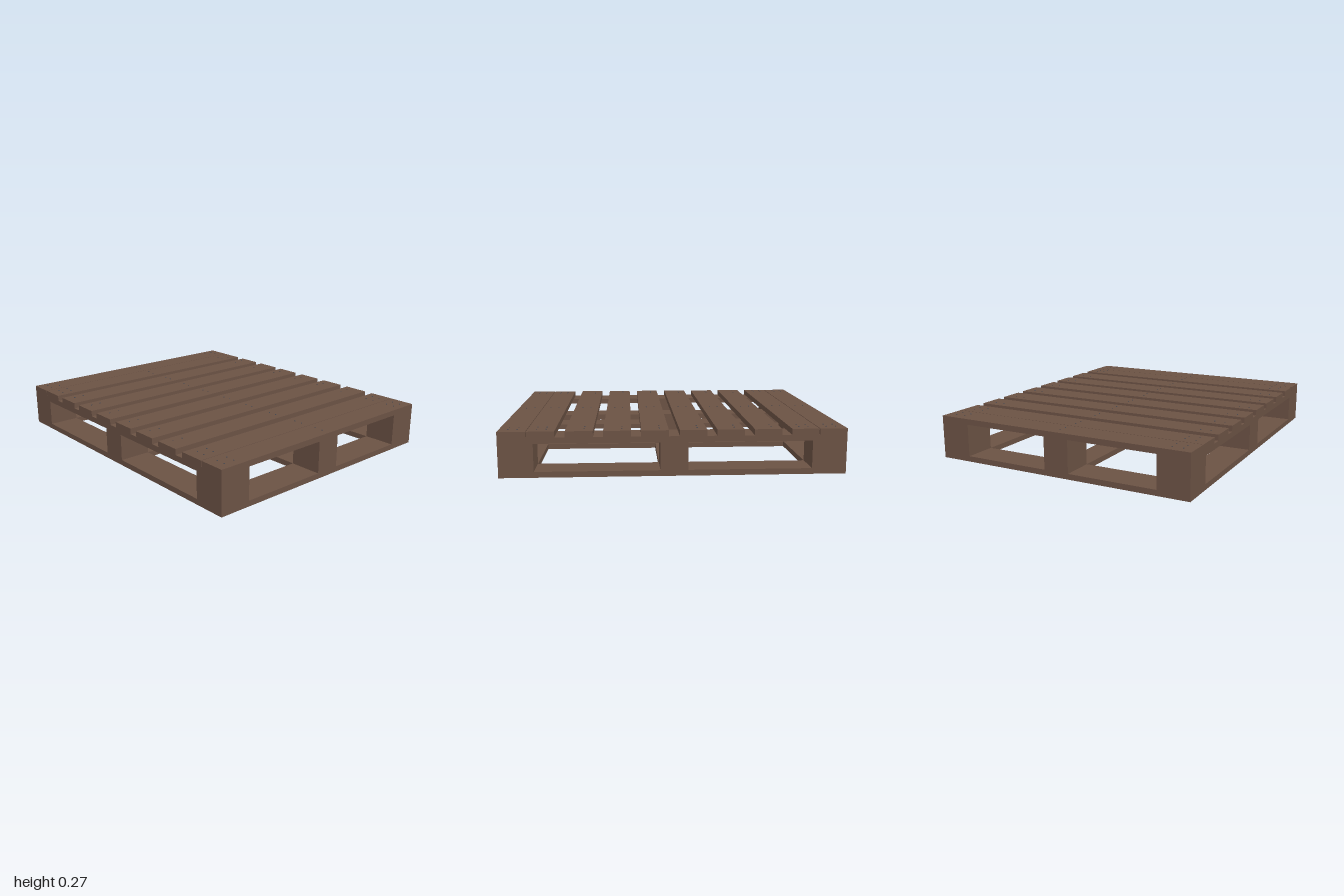
import * as THREE from 'three';

// Layer heights: bottom boards, blocks, stringers, deck
const Y = [0.003, 0.037, 0.2, 0.235, 0.27];
const HALF_W = 0.83, INNER_X = 0.635, INNER_Z = 0.8, MID = 0.08;

export function createModel() {
  const model = new THREE.Group();
  const wood = new THREE.MeshStandardMaterial({ color: 0x6b5244 });
  wood.name = 'brown wood';
  const steel = new THREE.MeshStandardMaterial({ color: 0x4a4a50 });
  steel.name = 'grey nail steel';

  // Box given by its extents, on one layer of the stack
  const plank = (name, x0, x1, layer, z0, z1) => {
    const y0 = Y[layer], y1 = Y[layer + 1];
    const mesh = new THREE.Mesh(new THREE.BoxGeometry(x1 - x0, y1 - y0, z1 - z0), wood);
    mesh.position.set((x0 + x1) / 2, (y0 + y1) / 2, (z0 + z1) / 2);
    mesh.name = name;
    model.add(mesh);
  };

  const columns = [[-HALF_W, -INNER_X], [-MID, MID], [INNER_X, HALF_W]];
  const rows = [[-1, -INNER_Z], [-MID, MID], [INNER_Z, 1]];

  // Nine blocks, with the three stringers running front to back on top
  for (const [x0, x1] of columns) {
    plank('stringer', x0, x1, 2, -1, 1);
    for (const [z0, z1] of rows) plank('block', x0, x1, 1, z0, z1);
  }

  // Bottom frame with a cross in the middle
  plank('bottomSideBoard', -HALF_W, -INNER_X, 0, -1, 1);
  plank('bottomSideBoard', INNER_X, HALF_W, 0, -1, 1);
  for (const [z0, z1] of rows) plank('bottomCrossBoard', -INNER_X, INNER_X, 0, z0, z1);
  for (const s of [-1, 1]) {
    const ends = [s * MID, s * INNER_Z].sort((a, b) => a - b);
    plank('bottomMiddleBoard', -MID, MID, 0, ends[0], ends[1]);
  }

  // Nail heads, slightly proud of the boards
  const nailGeometry = new THREE.CylinderGeometry(0.004, 0.004, 0.006, 8);
  const nail = (x, y, z) => {
    const mesh = new THREE.Mesh(nailGeometry, steel);
    mesh.position.set(x, y, z);
    mesh.name = 'nail';
    model.add(mesh);
  };

  // Ten deck boards, mirrored front and back
  const deckCentres = [0.11, 0.325, 0.541, 0.757, 0.92];
  for (const s of [-1, 1]) {
    deckCentres.forEach((c, i) => {
      const z = s * c, half = i === 4 ? 0.08 : 0.079;
      plank('deckBoard', -HALF_W, HALF_W, 3, z - half, z + half);
      for (const dz of [-0.027, 0.027]) {
        nail(0, 0.27, z + dz);
        // Outer boards have four nails per side, the others two
        if (i < 3 && dz > 0) continue;
        for (const x of [0.7, 0.765]) {
          nail(x, 0.27, z + dz);
          nail(-x, 0.27, z + dz);
        }
      }
    });
  }

  // Nails under the blocks
  for (const x of [-0.765, -0.7, 0, 0.7, 0.765]) {
    for (const z of [-0.94, -0.87, -0.02, 0.02, 0.87, 0.94]) nail(x, 0.003, z);
  }
  return model;
}
